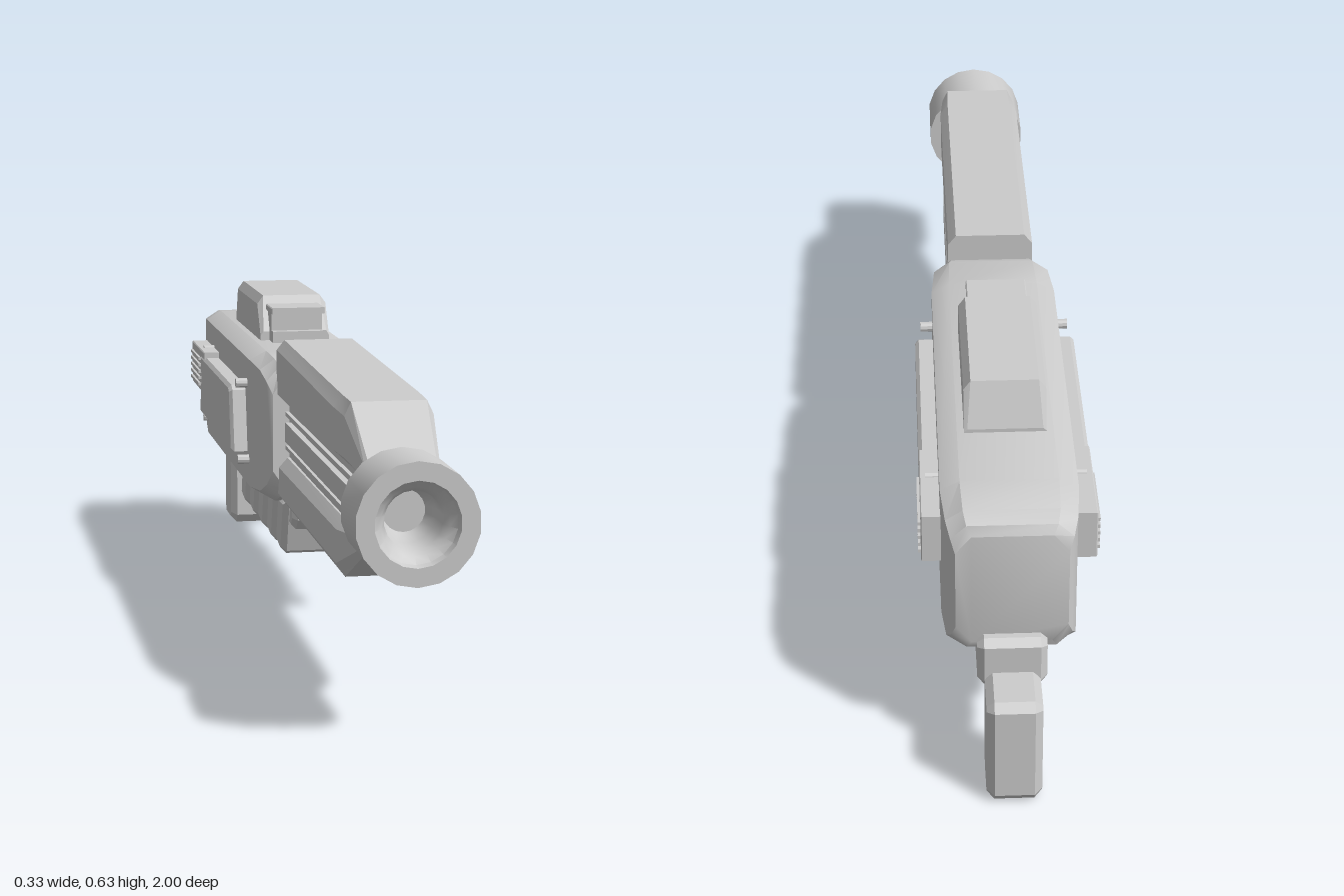
import * as THREE from 'three';
import { toCreasedNormals } from 'three/addons/utils/BufferGeometryUtils.js';

const grey = new THREE.MeshStandardMaterial({ color: 0xcccccc });
grey.name = 'light grey';

// Octagonal cross-section at z: half widths at top, sides and bottom, then heights downwards
function octagon(z, xTop, xSide, xBottom, yTop, yHigh, yLow, yBottom) {
  const right = [[xBottom, yBottom], [xSide, yLow], [xSide, yHigh], [xTop, yTop]];
  const left = right.map(([x, y]) => [-x, y]).reverse();
  return [...right, ...left].map(([x, y]) => new THREE.Vector3(x, y, z));
}

// Skin cross-sections listed from back to front and close both ends
function loft(sections, crease = 0.5) {
  const pos = [];
  const tri = (...pts) => pts.forEach((p) => pos.push(p.x, p.y, p.z));
  const n = sections[0].length;
  for (let s = 0; s < sections.length - 1; s++) {
    for (let i = 0; i < n; i++) {
      const j = (i + 1) % n;
      const a = sections[s], b = sections[s + 1];
      tri(a[i], a[j], b[j]);
      tri(a[i], b[j], b[i]);
    }
  }
  const back = sections[0], front = sections[sections.length - 1];
  for (let i = 1; i < n - 1; i++) {
    tri(front[0], front[i], front[i + 1]);
    tri(back[0], back[i + 1], back[i]);
  }
  const geo = new THREE.BufferGeometry();
  geo.setAttribute('position', new THREE.Float32BufferAttribute(pos, 3));
  geo.computeVertexNormals();
  return toCreasedNormals(geo, crease);
}

// Side profile of [z, y] points, given a total width across x with bevelled edges
function sideProfile(points, width, bevel = 0.01) {
  const shape = new THREE.Shape(points.map(([z, y]) => new THREE.Vector2(z, y)));
  const geo = new THREE.ExtrudeGeometry(shape, {
    depth: width - 2 * bevel, bevelEnabled: bevel > 0, bevelThickness: bevel,
    bevelSize: bevel, bevelOffset: -bevel, bevelSegments: 1,
  });
  geo.translate(0, 0, -(width - 2 * bevel) / 2);
  return geo.rotateY(-Math.PI / 2);
}

export function createModel() {
  const model = new THREE.Group();
  model.name = 'blaster';
  const add = (name, geo, x = 0, y = 0, z = 0) => {
    const mesh = new THREE.Mesh(geo, grey);
    mesh.name = name;
    mesh.position.set(x, y, z);
    model.add(mesh);
    return mesh;
  };
  const box = (name, w, h, d, x, y, z) => add(name, new THREE.BoxGeometry(w, h, d), x, y, z);

  // Main body with rounded ends
  add('body', loft([
    octagon(-0.878, 0.072, 0.1, 0.072, 0.505, 0.47, 0.31, 0.275),
    octagon(-0.868, 0.08, 0.108, 0.08, 0.522, 0.495, 0.285, 0.256),
    octagon(-0.84, 0.085, 0.116, 0.085, 0.535, 0.515, 0.262, 0.243),
    octagon(-0.76, 0.088, 0.123, 0.088, 0.541, 0.522, 0.252, 0.238),
    octagon(-0.08, 0.088, 0.123, 0.088, 0.541, 0.522, 0.252, 0.238),
    octagon(0.015, 0.085, 0.116, 0.085, 0.537, 0.515, 0.262, 0.24),
    octagon(0.045, 0.08, 0.107, 0.08, 0.525, 0.495, 0.28, 0.253),
    octagon(0.06, 0.072, 0.096, 0.072, 0.505, 0.47, 0.31, 0.275),
  ]));
  // Barrel core and the two shrouds around it
  add('barrelCore', loft([
    octagon(0, 0.04, 0.062, 0.04, 0.47, 0.45, 0.34, 0.32),
    octagon(0.88, 0.04, 0.062, 0.04, 0.47, 0.45, 0.34, 0.32),
  ]));
  add('upperShroud', loft([
    octagon(0.048, 0.07, 0.086, 0.066, 0.58, 0.56, 0.47, 0.452),
    octagon(0.68, 0.07, 0.086, 0.066, 0.567, 0.545, 0.468, 0.45),
    octagon(0.755, 0.068, 0.08, 0.064, 0.565, 0.54, 0.466, 0.448),
    octagon(0.87, 0.06, 0.066, 0.055, 0.478, 0.47, 0.45, 0.44),
  ], 0.2));
  add('lowerShroud', loft([
    octagon(0.048, 0.066, 0.084, 0.065, 0.338, 0.318, 0.262, 0.236),
    octagon(0.69, 0.066, 0.082, 0.065, 0.342, 0.324, 0.262, 0.236),
    octagon(0.87, 0.055, 0.064, 0.058, 0.35, 0.342, 0.332, 0.325),
  ], 0.2));

  // Hollow muzzle
  const bore = [[0, 0.865], [0.108, 0.865], [0.108, 1], [0.075, 1], [0.072, 0.985],
    [0.06, 0.975], [0.051, 0.96], [0.051, 0.91], [0.038, 0.88], [0, 0.87]];
  const muzzle = new THREE.LatheGeometry(bore.map(([r, z]) => new THREE.Vector2(r, z)), 18);
  add('muzzle', toCreasedNormals(muzzle.rotateX(Math.PI / 2), 0.7), 0, 0.395, 0);

  // Sight housing and its framed front window
  add('sightHousing', loft([
    octagon(-0.61, 0.069, 0.075, 0.075, 0.548, 0.542, 0.535, 0.53),
    octagon(-0.58, 0.062, 0.075, 0.075, 0.633, 0.615, 0.54, 0.53),
    octagon(-0.285, 0.062, 0.075, 0.075, 0.633, 0.615, 0.54, 0.53),
    octagon(-0.24, 0.069, 0.075, 0.075, 0.56, 0.55, 0.535, 0.53),
  ], 0.2));
  box('sightCore', 0.11, 0.07, 0.08, 0, 0.568, -0.255);
  add('sightHood', sideProfile([[-0.192, 0.602], [-0.192, 0.616], [-0.29, 0.616], [-0.29, 0.602]], 0.116, 0.002));
  box('sightSill', 0.11, 0.03, 0.025, 0, 0.55, -0.207);

  // Ribbed fore grip
  add('gripRail', sideProfile([[0.105, 0.24], [0.105, 0.215], [0.085, 0.193], [-0.05, 0.2],
    [-0.565, 0.2], [-0.565, 0.25], [0.08, 0.25]], 0.125));
  for (let i = 0; i < 5; i++) {
    const z = -i * 0.126;
    add('gripRib', sideProfile([[z + 0.072, 0.25], [z - 0.01, 0.25], [z - 0.042, 0.143],
      [z + 0.025, 0.13], [z + 0.037, 0.137]], 0.152, 0.012));
  }

  // Rear link and handle
  add('rearLink', sideProfile([[-0.67, 0.25], [-0.67, 0.2], [-0.69, 0.19], [-0.892, 0.19],
    [-0.905, 0.205], [-0.905, 0.28], [-0.89, 0.292], [-0.8, 0.292]], 0.125, 0.012));
  add('rearHandle', sideProfile([[-0.885, 0.205], [-0.885, 0.02], [-0.9, 0], [-0.985, 0],
    [-1, 0.02], [-1, 0.21], [-0.985, 0.225], [-0.9, 0.225]], 0.1, 0.014));

  // Details repeated on both sides
  for (const side of [1, -1]) {
    box('barrelStrip', 0.014, 0.04, 0.72, side * 0.067, 0.395, 0.44);
    box('barrelRib', 0.012, 0.008, 0.8, side * 0.064, 0.43, 0.45);
    box('barrelRib', 0.012, 0.008, 0.8, side * 0.064, 0.36, 0.45);
    add('sidePanel', sideProfile([[-0.115, 0.322], [-0.14, 0.45], [-0.155, 0.459], [-0.615, 0.459],
      [-0.615, 0.4], [-0.638, 0.322]], 0.042, 0.007), side * 0.137);
    add('ventFrame', sideProfile([[-0.56, 0.455], [-0.56, 0.472], [-0.77, 0.472], [-0.77, 0.375],
      [-0.622, 0.375], [-0.622, 0.455]], 0.042, 0.002), side * 0.137);
    for (let i = 0; i < 5; i++) {
      box('ventSlat', 0.008, 0.007, 0.14, side * 0.159, 0.39 + i * 0.015, -0.69);
    }
    for (const [y, z] of [[0.468, -0.12], [0.308, -0.1], [0.308, -0.655], [0.468, -0.64]]) {
      const bolt = new THREE.CylinderGeometry(0.01, 0.01, 0.036, 10).rotateZ(Math.PI / 2);
      add('panelBolt', toCreasedNormals(bolt, 0.8), side * 0.129, y, z);
    }
  }
  return model;
}
